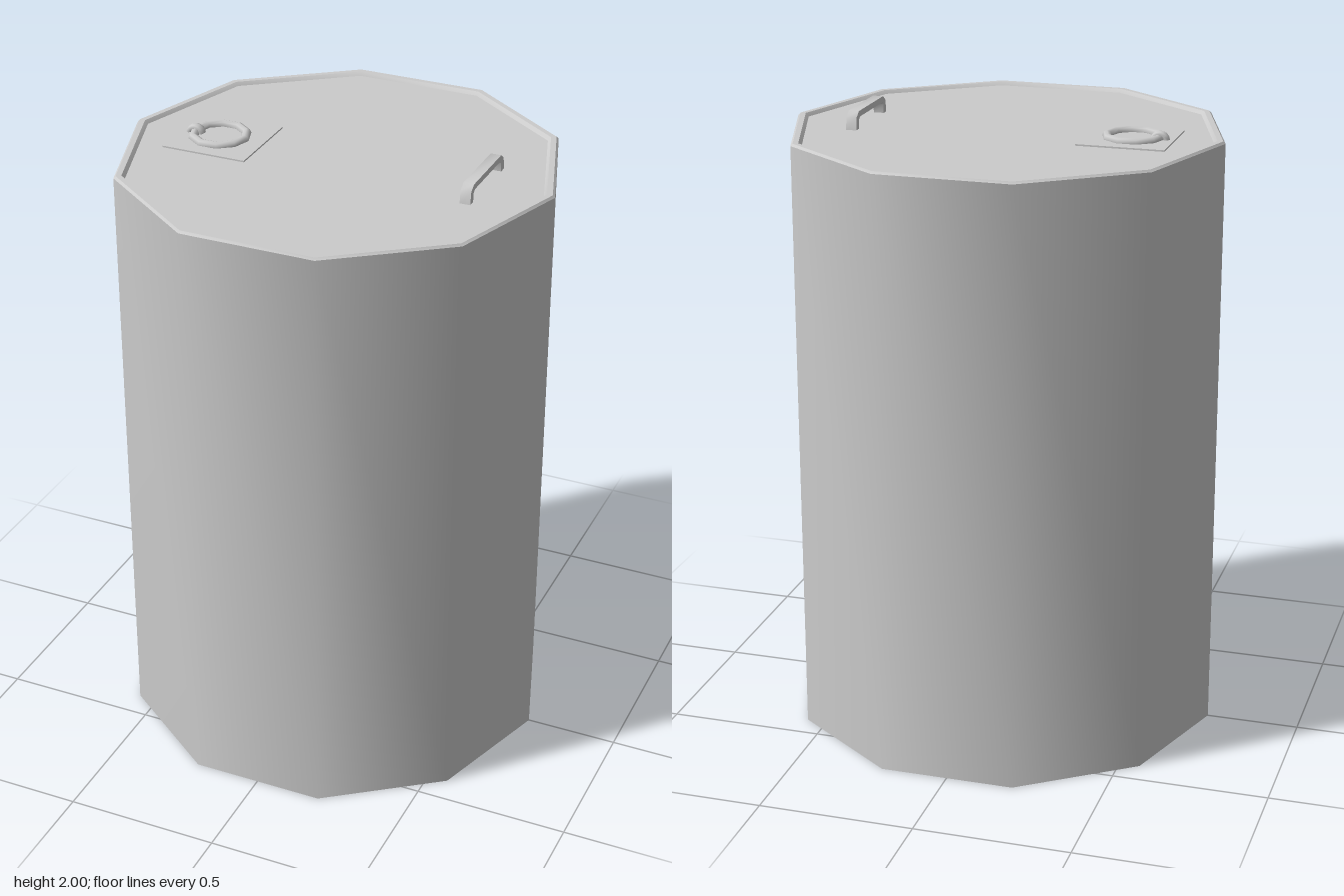
import * as THREE from 'three';
import { toCreasedNormals } from 'three/addons/utils/BufferGeometryUtils.js';

const SIDES = 10;
const LID = 1.944; // height of the recessed lid

export function createModel() {
  const model = new THREE.Group();
  model.name = 'barrel';
  const material = new THREE.MeshStandardMaterial({ color: 0xcccccc });
  const add = (name, geometry, x = 0, y = 0, z = 0) => {
    const mesh = new THREE.Mesh(geometry, material);
    mesh.name = name;
    mesh.position.set(x, y, z);
    model.add(mesh);
    return mesh;
  };

  // Ten-sided body with a softened rim around a slightly sunken lid
  const profile = [
    [0, 0], [0.7, 0], [0.7, 1.948], [0.693, 1.955], [0.675, 1.955], [0.665, LID], [0, LID],
  ].map(([x, y]) => new THREE.Vector2(x, y));
  add('body', toCreasedNormals(new THREE.LatheGeometry(profile, SIDES, Math.PI / 2), 0.7));

  // Thin plate under the pull ring
  add('ringPlate', new THREE.BoxGeometry(0.28, 0.006, 0.28), -0.4, LID + 0.002, 0);

  // Pull ring lying flat, held by a small loop
  const ring = new THREE.TorusGeometry(0.085, 0.015, 8, SIDES);
  ring.rotateX(Math.PI / 2);
  add('pullRing', ring, -0.41, 1.951, 0);

  const loop = new THREE.TorusGeometry(0.021, 0.011, 8, 8, Math.PI);
  loop.scale(1, 1, 1.6);
  add('ringLoop', loop, -0.494, LID, 0);

  // Arched carrying handle with chamfered corners
  const outer = [[0.142, LID - 0.004], [0.136, 1.984], [0.113, 2]];
  const inner = [[0.118, LID - 0.004], [0.116, 1.972], [0.104, 1.981]];
  const mirror = ([x, y]) => [-x, y];
  const outline = [
    ...outer, ...outer.map(mirror).reverse(),
    ...inner.map(mirror), ...[...inner].reverse(),
  ].map(([x, y]) => new THREE.Vector2(x, y));
  const arch = new THREE.ExtrudeGeometry(new THREE.Shape(outline), { depth: 0.034, bevelEnabled: false });
  arch.translate(0, 0, -0.017);
  arch.rotateY(Math.PI / 2);
  add('handle', toCreasedNormals(arch, 0.9), 0.468, 0, 0);

  return model;
}
